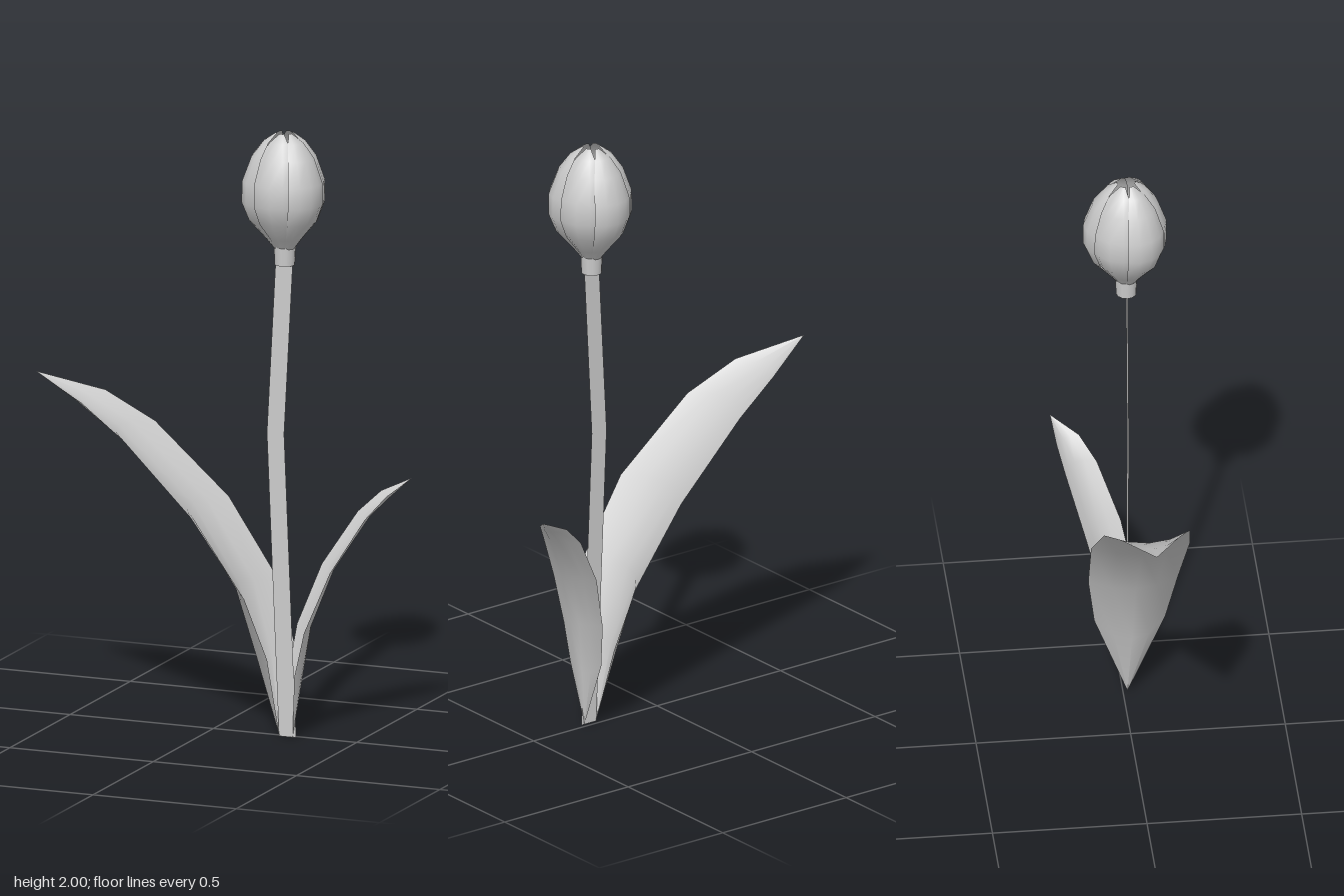
import * as THREE from 'three';

const material = new THREE.MeshStandardMaterial({ color: 0xcccccc, side: THREE.DoubleSide });

// Smooth sheet through equal-length rows of [x, y, z] points
function sheet(name, rows) {
  const cols = rows[0].length, index = [];
  for (let i = 0; i < rows.length - 1; i++) {
    for (let j = 0; j < cols - 1; j++) {
      const a = i * cols + j, b = a + 1, c = a + cols, d = c + 1;
      index.push(a, b, d, a, d, c);
    }
  }
  const geometry = new THREE.BufferGeometry();
  geometry.setAttribute('position', new THREE.Float32BufferAttribute(rows.flat(2), 3));
  geometry.setIndex(index);
  geometry.computeVertexNormals();
  const mesh = new THREE.Mesh(geometry, material);
  mesh.name = name;
  return mesh;
}

// Cupped leaf: midrib reach and height, edge reach and height, half width, sideways shift
const LEAF = [
  [0, 0, 0, 0, 0, 0],
  [0.067, 0.25, -0.008, 0.28, 0.115, -0.008],
  [0.137, 0.5, 0.057, 0.48, 0.145, -0.012],
  [0.297, 0.75, 0.237, 0.74, 0.16, -0.017],
  [0.557, 0.98, 0.487, 0.97, 0.139, -0.012],
  [0.697, 1.055, 0.647, 1.065, 0.1, -0.005],
  [0.848, 1.13, 0.848, 1.13, 0, -0.005],
];

function leaf(name, baseX, angle, spread, height) {
  const c = Math.cos(angle), s = Math.sin(angle);
  const rows = LEAF.map(([midD, midY, edgeD, edgeY, half, shift]) =>
    [-1, -0.5, 0, 0.5, 1].map((u) => {
      const k = u * u;
      const d = THREE.MathUtils.lerp(midD, edgeD, k) * spread;
      const w = (u * half + shift) * spread;
      return [baseX + d * c + w * s, THREE.MathUtils.lerp(midY, edgeY, k) * height, 0.015 - d * s + w * c];
    }));
  return sheet(name, rows);
}

// Petal outline: height, radius, half angle in degrees
const PETAL = [
  [1.61, 0.03, 34], [1.65, 0.062, 34], [1.71, 0.115, 34], [1.77, 0.139, 33],
  [1.84, 0.138, 33], [1.92, 0.108, 32], [1.97, 0.07, 28], [1.997, 0.03, 14],
];

function petal(name, azimuth, scale, widen) {
  const rows = PETAL.map(([y, r, half]) =>
    [-1, -0.5, 0, 0.5, 1].map((u) => {
      const a = THREE.MathUtils.degToRad(azimuth + u * half * widen);
      const radius = r * scale * (1 - 0.08 * u * u);
      return [radius * Math.sin(a), y, radius * Math.cos(a)];
    }));
  return sheet(name, rows);
}

export function createModel() {
  const model = new THREE.Group();
  model.name = 'flower';

  // Flat ribbon stem with a gentle bend
  const stem = [[0.265, 0], [0.25, 0.35], [0.223, 1], [0.255, 1.6]];
  model.add(sheet('stem', stem.map(([x, y]) => [[x - 0.03, y, 0.015], [x + 0.03, y, 0.015]])));

  // Large leaf and a narrower, shorter one
  model.add(leaf('largeLeaf', 0.237, Math.PI, 1, 1));
  model.add(leaf('smallLeaf', 0.283, 0.567, 0.46, 0.745));

  // Blossom: three outer petals overlapping three inner ones
  const blossom = new THREE.Group();
  blossom.name = 'blossom';
  blossom.position.set(0.255, 0, 0.013);
  for (let i = 0; i < 3; i++) {
    blossom.add(petal('outerPetal', 60 + i * 120, 1.01, 1));
    blossom.add(petal('innerPetal', i * 120, 0.94, 1.2));
  }

  // Short collar joining blossom and stem
  const collar = new THREE.Mesh(new THREE.CylinderGeometry(0.036, 0.033, 0.065, 12), material);
  collar.name = 'collar';
  collar.position.y = 1.593;
  blossom.add(collar);
  model.add(blossom);

  return model;
}
